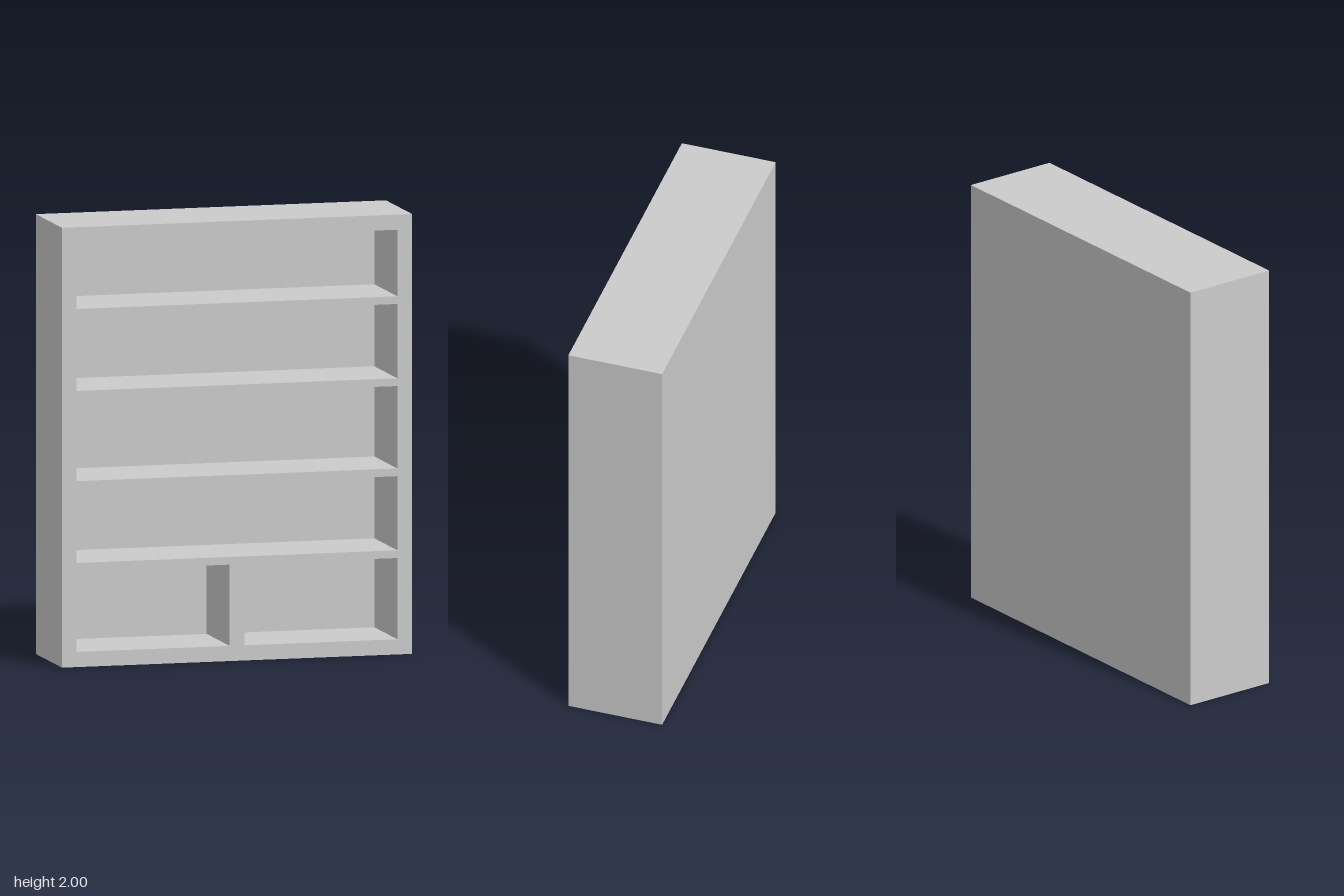
import * as THREE from 'three';

export function createModel() {
  const group = new THREE.Group();
  group.name = 'bookcase';
  const material = new THREE.MeshStandardMaterial({ color: 0xcccccc, flatShading: true });

  const W = 1.634, H = 2, D = 0.444;
  const wall = 0.069, back = 0.054, shelf = 0.035;
  const innerW = W - 2 * wall, innerD = D - back;
  const innerZ = back / 2;

  const board = (name, w, h, d, x, y, z) => {
    const mesh = new THREE.Mesh(new THREE.BoxGeometry(w, h, d), material);
    mesh.name = name;
    mesh.position.set(x, y, z);
    group.add(mesh);
  };

  // One-piece outer frame, open at the front
  const outline = new THREE.Shape([
    new THREE.Vector2(-W / 2, 0), new THREE.Vector2(W / 2, 0),
    new THREE.Vector2(W / 2, H), new THREE.Vector2(-W / 2, H),
  ]);
  const x = innerW / 2;
  outline.holes.push(new THREE.Path([
    new THREE.Vector2(-x, wall), new THREE.Vector2(-x, H - wall),
    new THREE.Vector2(x, H - wall), new THREE.Vector2(x, wall),
  ]));
  const frame = new THREE.Mesh(
    new THREE.ExtrudeGeometry(outline, { depth: D, bevelEnabled: false }), material);
  frame.name = 'outerFrame';
  frame.position.z = -D / 2;
  group.add(frame);

  // Back panel closing the frame
  board('backPanel', innerW, H - 2 * wall, back, 0, H / 2, -D / 2 + back / 2);

  // Full-width shelves, by centre height
  const shelfHeights = [0.456, 0.828, 1.238, 1.611];
  shelfHeights.forEach((y, i) =>
    board(`shelf${i + 1}`, innerW, shelf, innerD, 0, y, innerZ));

  // Upright divider in the lowest compartment
  const dividerTop = shelfHeights[0] - shelf / 2;
  board('divider', wall, dividerTop - wall, innerD, 0, (dividerTop + wall) / 2, innerZ);

  return group;
}
